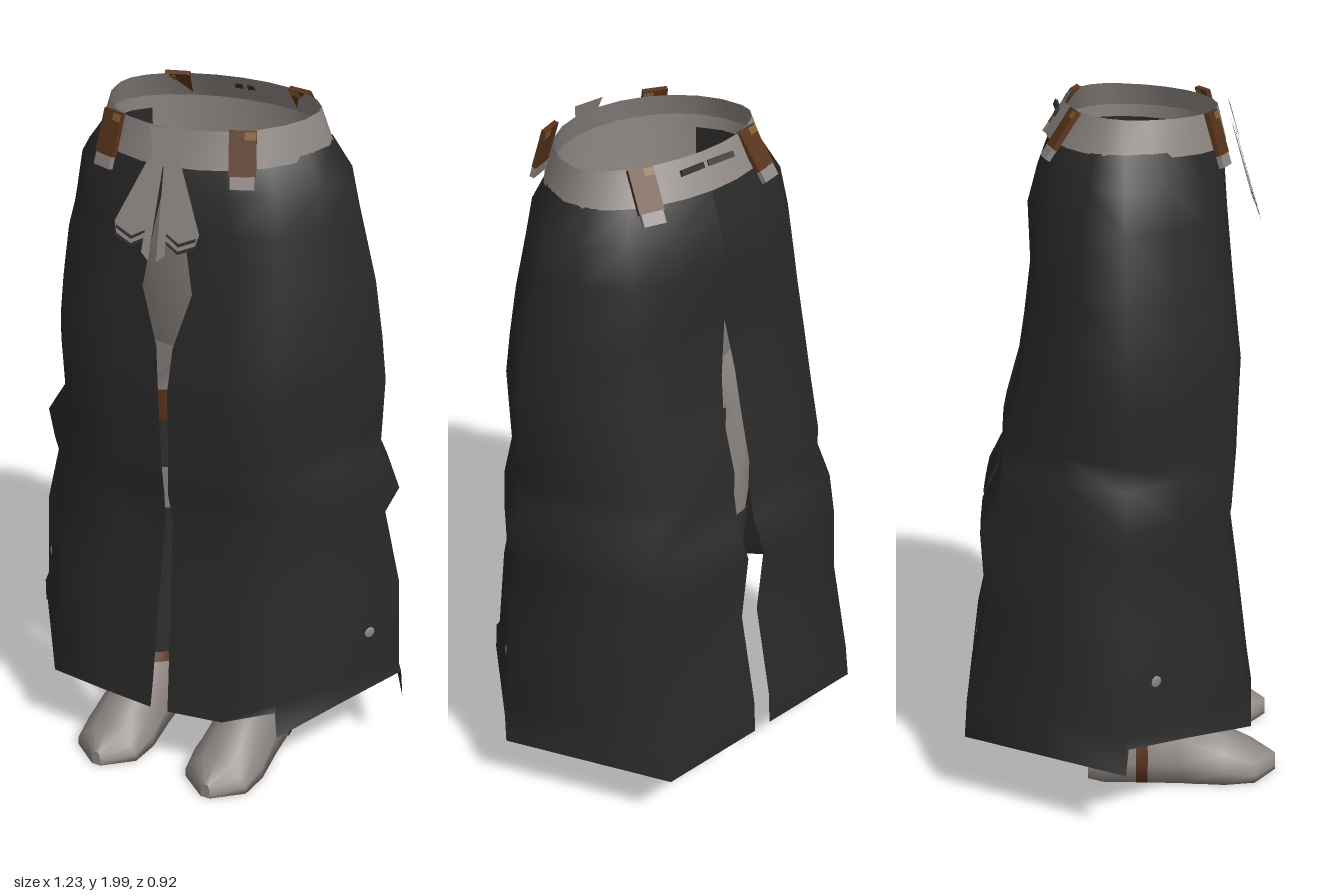
import * as THREE from 'three';

const mat = (name, color, side = THREE.DoubleSide) => {
  const m = new THREE.MeshStandardMaterial({ color, side });
  m.name = name;
  return m;
};

// Joins rows of [x, y, z] points into one smooth surface
function loft(rows, closed = true) {
  const n = rows[0].length, index = [];
  for (let r = 0; r < rows.length - 1; r++) {
    for (let i = 0; i < (closed ? n : n - 1); i++) {
      const j = (i + 1) % n, a = r * n + i, b = r * n + j;
      index.push(a, b, a + n, b, b + n, a + n);
    }
  }
  const g = new THREE.BufferGeometry();
  g.setAttribute('position', new THREE.Float32BufferAttribute(rows.flat(2), 3));
  g.setIndex(index);
  g.computeVertexNormals();
  return g;
}

const N = 24;
const around = fn => Array.from({ length: N }, (_, i) => fn(i / N * Math.PI * 2));
const ellipse = (y, cx, cz, rx, rz) =>
  around(a => [cx + rx * Math.cos(a), y, cz + rz * Math.sin(a)]);

// Skirt rows: y, side x, front z, back z, front gap, back gap, roundness
const SKIRT = [
  [1.895, 0.335, 0.264, 0.203, 0.0, 0, 1],
  [1.81, 0.40, 0.288, 0.235, 0.02, 0, 0.85],
  [1.70, 0.43, 0.295, 0.265, 0.045, 0, 0.65],
  [1.53, 0.48, 0.31, 0.26, 0.075, 0, 0.4],
  [1.37, 0.505, 0.33, 0.28, 0.025, 0.025, 0.25],
  [1.24, 0.52, 0.345, 0.30, 0.014, 0.033, 0.2],
  [1.08, 0.515, 0.34, 0.345, 0.012, 0.03, 0.15],
  [1.01, 0.512, 0.338, 0.345, 0.01, 0.03, 0.1],
  [0.91, 0.575, 0.33, 0.365, 0.006, 0.03, 0.1],
  [0.82, 0.535, 0.315, 0.41, 0.012, 0.03, 0.05],
  [0.60, 0.588, 0.345, 0.39, 0.018, 0.03, 0],
  [0.32, 0.60, 0.38, 0.452, 0.025, 0.03, 0],
  [0.21, 0.615, 0.395, 0.46, 0.028, 0.03, 0],
];

// u runs 0 front opening, 1 front corner, 2 side, 3 back corner, 4 back opening
function skirtPoint(row, u, s, y = row[0]) {
  const [, xs, zf, zb, gf, gb, round] = row;
  const v = u <= 2 ? u : 4 - u;
  const gap = u <= 2 ? gf : gb, depth = u <= 2 ? zf : -zb;
  const corner = u <= 2 ? 0.93 : 1;
  const hx = v < 1 ? gap + (0.6 * xs - gap) * v : xs * (0.6 + 0.4 * (v - 1));
  const hz = depth * (v < 1 ? 1 + (corner - 1) * v : corner * (2 - v));
  const th = v * Math.PI / 4;
  const ox = xs * Math.sin(th) + gap * Math.max(0, 1 - v), oz = depth * Math.cos(th);
  return [s * (hx + (ox - hx) * round), y, hz + (oz - hz) * round];
}

// Skirt half; paired columns at the hem steps share one normal
function skirtHalf(cols, s) {
  const last = SKIRT.length - 1, n = cols.length;
  const g = loft(SKIRT.map((row, r) => cols.map(([u, hem]) =>
    skirtPoint(row, u, s, r === last ? hem : row[0]))), false);
  const nor = g.attributes.normal;
  const a = new THREE.Vector3(), b = new THREE.Vector3();
  for (let k = 0; k < n * (last + 1) - 1; k++) {
    const step = cols[(k % n) + 1]?.[0] - cols[k % n][0];
    if (!(step < 0.05)) continue;
    a.fromBufferAttribute(nor, k).add(b.fromBufferAttribute(nor, k + 1)).normalize();
    nor.setXYZ(k, a.x, a.y, a.z);
    nor.setXYZ(k + 1, a.x, a.y, a.z);
  }
  return g;
}

// Shoe cross-section in the xy plane at one z
const shoeRing = ([z, wb, wt, h], k = 1) => [
  [0, 0.004], [wb, 0.004], [wb, h * 0.3], [(wb + wt) / 2, h * 0.65], [wt * 0.75, h * 0.93], [0, h],
  [-wt * 0.75, h * 0.93], [-(wb + wt) / 2, h * 0.65], [-wb, h * 0.3], [-wb, 0.004],
].map(([x, y]) => [x * k, y * k, z]);

const SHOE = [
  [-0.105, 0.062, 0.045, 0.15], [-0.06, 0.085, 0.065, 0.19], [0.05, 0.09, 0.072, 0.215],
  [0.17, 0.098, 0.06, 0.21], [0.3, 0.112, 0.06, 0.135], [0.39, 0.1, 0.06, 0.085], [0.458, 0.015, 0.012, 0.05],
];

export function createModel() {
  const root = new THREE.Group();
  root.name = 'robeSkirt';
  const cloth = mat('blackCloth', 0x282828);
  const grey = mat('greyCloth', 0x8c8581);
  const brown = mat('brownLeather', 0x58331b);
  const gold = mat('goldTrim', 0x80602f);
  const boot = mat('darkBoot', 0x303030);

  const add = (name, geo, material, parent = root) => {
    const m = new THREE.Mesh(geo, material);
    m.name = name;
    parent.add(m);
    return m;
  };
  const shape = pts => new THREE.ShapeGeometry(new THREE.Shape(pts.map(p => new THREE.Vector2(...p))));

  // Skirt halves: columns of [u, hem height]
  const backHem = [[2, 0.21], [2.5, 0.21], [3, 0.21], [3.5, 0.21], [4, 0.21]];
  add('skirtLeft', skirtHalf([[0, 0.22], [0.5, 0.225], [0.98, 0.30], [1, 0.215], [1.5, 0.26], [1.98, 0.30], ...backHem], 1), cloth);
  add('skirtRight', skirtHalf([[0, 0.22], [0.5, 0.225], [1, 0.235], [1.5, 0.265], [1.98, 0.29], ...backHem], -1), cloth);
  for (const s of [1, -1]) {
    const p = skirtPoint(SKIRT[10], 1.75, s), q = skirtPoint(SKIRT[11], 1.75, s);
    const stud = add('skirtStud', new THREE.SphereGeometry(0.018, 10, 8), grey);
    stud.position.set((p[0] + q[0]) / 2, 0.46, (p[2] + q[2]) / 2);
    stud.rotation.y = -s * 0.58;
    stud.scale.x = 0.25;
  }

  // Waistband, higher at the back
  const oval = (y, x, zf, zb, rise) => around(a => {
    const c = Math.sin(a);
    return [x * Math.cos(a), y - rise * c, c > 0 ? zf * c : zb * c];
  });
  add('waistband', loft([oval(1.887, 0.332, 0.293, 0.213, 0.012), oval(1.982, 0.3, 0.268, 0.16, 0.008)]), grey);

  // Trouser hips, joined to the legs at y = 1.3
  const hipRing = ellipse(1.3, 0, 0.02, 0.29, 0.16);
  add('hips', loft([oval(1.92, 0.31, 0.262, 0.185, 0), oval(1.6, 0.32, 0.245, 0.195, 0), hipRing]), grey);
  const crotch = add('crotch', new THREE.ConeGeometry(1, 0.2, 4, 1, true), grey);
  crotch.rotation.x = Math.PI;
  crotch.scale.set(0.1, 1, 0.16);
  crotch.position.set(0, 1.2, 0.02);

  for (const s of [1, -1]) {
    // Dark lining inside the waist at each side
    const lining = [[1.885, 0.307], [1.65, 0.308]].map(([y, x]) => [-0.6, -0.3, 0, 0.3, 0.6].map(a =>
      [s * x * Math.cos(a), y, Math.sin(a) * (a > 0 ? 0.24 : 0.178)]));
    add('waistLining', loft(lining, false), cloth);

    const leg = new THREE.Group();
    leg.name = s > 0 ? 'leftLeg' : 'rightLeg';
    root.add(leg);
    const thighTop = around(a => {
      const c = Math.cos(a), q = Math.sin(a);
      return [s * (c > 0 ? 0.29 * c : 0.1 * (1 - Math.abs(q))), 1.3, 0.02 + 0.16 * q];
    });
    const ring = (y, cx, cz, rx, rz) =>
      ellipse(y, cx, cz, rx, rz).map(([x, yy, z]) => [s * x, yy, z]);
    add('trouserLeg', loft([thighTop, ring(1.15, 0.155, 0.01, 0.154, 0.165), ring(0.9, 0.151, 0, 0.15, 0.158),
      ring(0.78, 0.17, 0, 0.132, 0.148), ring(0.5, 0.186, 0.005, 0.092, 0.112), ring(0.25, 0.184, 0.02, 0.074, 0.094)]), grey, leg);
    add('boot', loft([ring(0.74, 0.172, 0, 0.131, 0.147), ring(0.5, 0.188, 0, 0.1, 0.12),
      ring(0.3, 0.185, 0.02, 0.085, 0.1), ring(0.14, 0.183, 0.02, 0.065, 0.1)]), boot, leg);

    // Thigh strap, brown in front and dark behind, with a dark knee guard below
    const straps = [ring(1.15, 0.155, 0.01, 0.159, 0.171), ring(1.05, 0.152, 0.005, 0.157, 0.168)];
    const knee = [ring(1.05, 0.153, 0.005, 0.155, 0.166), ring(0.89, 0.152, 0, 0.154, 0.162)];
    add('thighStrapFront', loft(straps.map(r => r.slice(0, N / 2 + 1)), false), brown, leg);
    add('thighStrapBack', loft(straps.map(r => r.slice(N / 2 + 1, N / 2 + 6)), false), boot, leg);
    add('kneeGuard', loft(knee.map(r => r.slice(1, N / 2 + 1)), false), boot, leg);

    // Insole
    const insole = add('insole', new THREE.CircleGeometry(1, 16), brown, leg);
    insole.rotation.x = -Math.PI / 2;
    insole.scale.set(0.078, 0.096, 1);
    insole.position.set(s * 0.184, 0.25, 0.02);
    const pad = add('insolePatch', shape([[-0.03, 0.03], [0.07, 0.02], [0.07, -0.02], [0.03, -0.04], [0.01, -0.09],
      [-0.03, -0.075], [-0.065, -0.03], [-0.065, 0.01]].map(([x, y]) => [s * x, y])), gold, leg);
    pad.rotation.x = -Math.PI / 2;
    pad.position.set(s * 0.184, 0.254, 0.02);

    // Shoe
    const shoe = new THREE.Group();
    shoe.name = 'shoe';
    shoe.position.x = s * 0.183;
    leg.add(shoe);
    add('shoeUpper', loft(SHOE.map(r => shoeRing(r))), grey, shoe);
    for (const end of [SHOE[0], SHOE[SHOE.length - 1]]) {
      const cap = add('shoeEnd', shape(shoeRing(end).map(p => [p[0], p[1]])), grey, shoe);
      cap.position.z = end[0];
    }
    const outline = [...SHOE.map(([z, w]) => [w, z]), ...SHOE.map(([z, w]) => [-w, z]).reverse()];
    const sole = add('sole', shape(outline), brown, shoe);
    sole.rotation.x = Math.PI / 2;
    sole.position.y = 0.003;
    const patches = [[[-0.08, 0.08], [0.02, 0.06], [0.09, 0.16], [0.1, 0.22], [0.0, 0.2], [-0.06, 0.14]],
      [[-0.1, 0.32], [-0.05, 0.34], [0.02, 0.43], [-0.02, 0.44], [-0.09, 0.39]],
      [[0.0, -0.1], [0.055, -0.1], [0.08, -0.05], [0.03, -0.04]]];
    for (const pts of patches) {
      const p = add('solePatch', shape(pts.map(([x, z]) => [s * x, z])), gold, shoe);
      p.rotation.x = Math.PI / 2;
    }
    add('instepStrap', loft([[0.038, 0.09, 0.072, 0.215], [0.072, 0.093, 0.07, 0.215]].map(r => shoeRing(r, 1.03))), brown, shoe);

    // Ankle band and boot trim
    const band = add('ankleBand', new THREE.CylinderGeometry(1, 1.08, 1, 20, 1, true), brown, shoe);
    band.scale.set(0.086, 0.03, 0.128);
    band.position.set(0, 0.192, 0.035);
    band.rotation.x = -0.2;
    const trim = (name, x, y, z, w, h, d, m) =>
      add(name, new THREE.BoxGeometry(w, h, d), m, shoe).position.set(x, y, z);
    trim('sideTrim', s * 0.088, 0.275, 0.03, 0.012, 0.15, 0.035, gold);
    trim('sideLace', s * 0.087, 0.275, 0.06, 0.012, 0.15, 0.015, brown);
    trim('frontTrim', s * 0.04, 0.27, 0.112, 0.03, 0.12, 0.01, gold);
    trim('heelPatch', s * 0.02, 0.34, -0.088, 0.06, 0.08, 0.01, grey);

    // Belt loops, front and back
    for (const front of [true, false]) {
      const loop = new THREE.Group();
      loop.name = front ? 'frontBeltLoop' : 'backBeltLoop';
      loop.position.set(s * 0.195, front ? 1.928 : 1.94, front ? 0.252 : -0.16);
      loop.rotation.order = 'YXZ';
      loop.rotation.y = front ? s * 0.4 : s * (Math.PI - 0.25);
      loop.rotation.x = front ? -0.3 : -0.6;
      root.add(loop);
      add('loopStrap', new THREE.BoxGeometry(0.072, 0.12, 0.014), brown, loop);
      add('loopTip', new THREE.BoxGeometry(0.064, 0.035, 0.014), grey, loop).position.y = -0.076;
      add('loopRivet', new THREE.BoxGeometry(0.03, 0.02, 0.016), gold, loop).position.set(0.02, 0.045, 0);
    }
    // Slot across the back of the waistband
    const slot = add('waistSlot', new THREE.BoxGeometry(0.085, 0.016, 0.008), boot);
    slot.position.set(s * 0.05, 1.962, -0.181);
    slot.rotation.set(0.45, s * 0.1, 0);
  }

  // Tied sash hanging in front
  const sash = new THREE.Group();
  sash.name = 'sash';
  sash.position.set(0, 1.96, 0.297);
  sash.rotation.x = -0.29;
  root.add(sash);
  add('knot', shape([[-0.05, 0.02], [0.05, 0.02], [0.025, -0.08], [-0.025, -0.08]]), grey, sash).position.z = 0.008;
  for (const s of [1, -1]) {
    const flip = pts => shape(pts.map(([x, y]) => [s * x, y]));
    add('sashTail', flip([[0.005, -0.03], [0.05, -0.07], [0.125, -0.24], [0.115, -0.28], [0.07, -0.3], [0.028, -0.27]]), grey, sash);
    add('sashInnerTail', flip([[0.0, -0.05], [0.02, -0.06], [0.035, -0.31], [0.012, -0.33]]), grey, sash).position.z = 0.004;
    for (const y of [0, -0.02]) {
      const stripe = add('sashStripe', flip([[0.118, -0.25], [0.07, -0.272], [0.03, -0.25], [0.03, -0.257], [0.07, -0.281], [0.118, -0.259]]), boot, sash);
      stripe.position.set(0, y, 0.002);
    }
  }
  return root;
}
